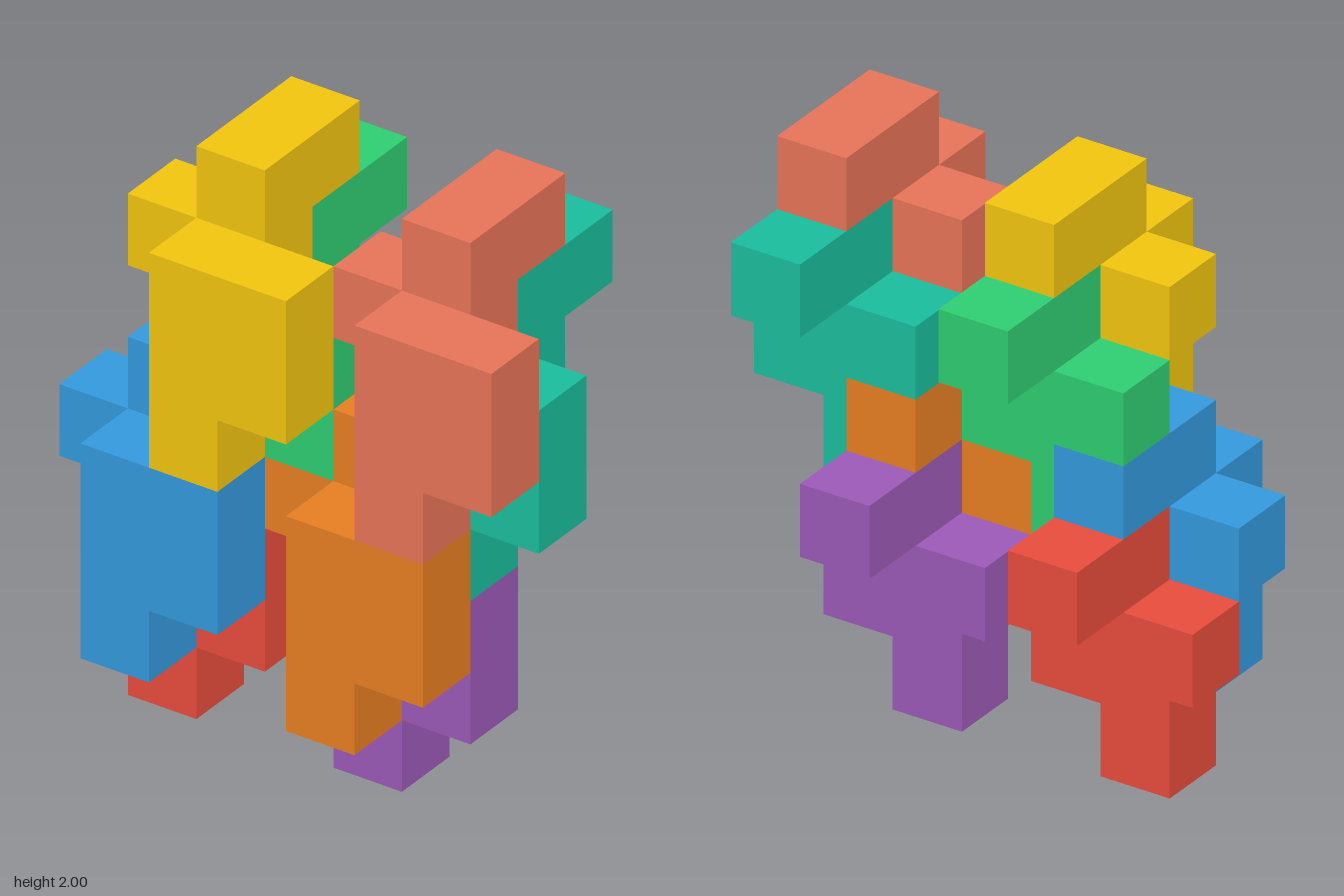
import * as THREE from 'three';
import { mergeGeometries } from 'three/addons/utils/BufferGeometryUtils.js';

const U = 0.25; // edge of one cube cell

// Cells of the repeating piece: [x, y, z]
const CELLS = [
  [0, 3, -1], [0, 3, 0],                        // top bar
  [-1, 2, 0], [0, 2, 0], [0, 2, 1], [1, 2, 1],  // zigzag below it
  [0, 1, 1], [1, 1, 1],                         // front plate
  [0, 0, 1],                                    // foot
];

// Rotations that turn a +z facing square to each cube side
const SIDES = [
  { dir: [0, 0, 1], rot: [0, 0, 0] },
  { dir: [0, 0, -1], rot: [0, Math.PI, 0] },
  { dir: [1, 0, 0], rot: [0, Math.PI / 2, 0] },
  { dir: [-1, 0, 0], rot: [0, -Math.PI / 2, 0] },
  { dir: [0, 1, 0], rot: [-Math.PI / 2, 0, 0] },
  { dir: [0, -1, 0], rot: [Math.PI / 2, 0, 0] },
];

// Outer skin of the piece: a square wherever a cell has no neighbour
function pieceGeometry() {
  const filled = new Set(CELLS.map(c => c.join()));
  const faces = [];
  for (const cell of CELLS) {
    for (const { dir, rot } of SIDES) {
      if (filled.has(cell.map((v, i) => v + dir[i]).join())) continue;
      const face = new THREE.PlaneGeometry(U, U);
      face.rotateX(rot[0]).rotateY(rot[1]);
      face.translate(...cell.map((v, i) => (v + dir[i] / 2) * U));
      faces.push(face);
    }
  }
  return mergeGeometries(faces);
}

// Each piece with its colour and its offset in cells
const PIECES = [
  ['upperFrontRightPiece', 0xf1c40f, [-1, 4, 0]],
  ['upperFrontLeftPiece', 0xe67358, [2, 4, 0]],
  ['upperBackRightPiece', 0x2ecc71, [-1, 3, -1]],
  ['upperBackLeftPiece', 0x1abc9c, [2, 3, -1]],
  ['lowerFrontRightPiece', 0x3498db, [-2, 1, 0]],
  ['lowerFrontLeftPiece', 0xe67e22, [1, 1, 0]],
  ['lowerBackRightPiece', 0xe74c3c, [-2, 0, -1]],
  ['lowerBackLeftPiece', 0x9b59b6, [1, 0, -1]],
];

export function createModel() {
  const group = new THREE.Group();
  group.name = 'interlockingBlocks';
  const geometry = pieceGeometry();
  for (const [name, color, [x, y, z]] of PIECES) {
    const piece = new THREE.Mesh(geometry, new THREE.MeshStandardMaterial({ color }));
    piece.name = name;
    piece.position.set(x * U, (y + 0.5) * U, (z + 0.5) * U);
    group.add(piece);
  }
  return group;
}
